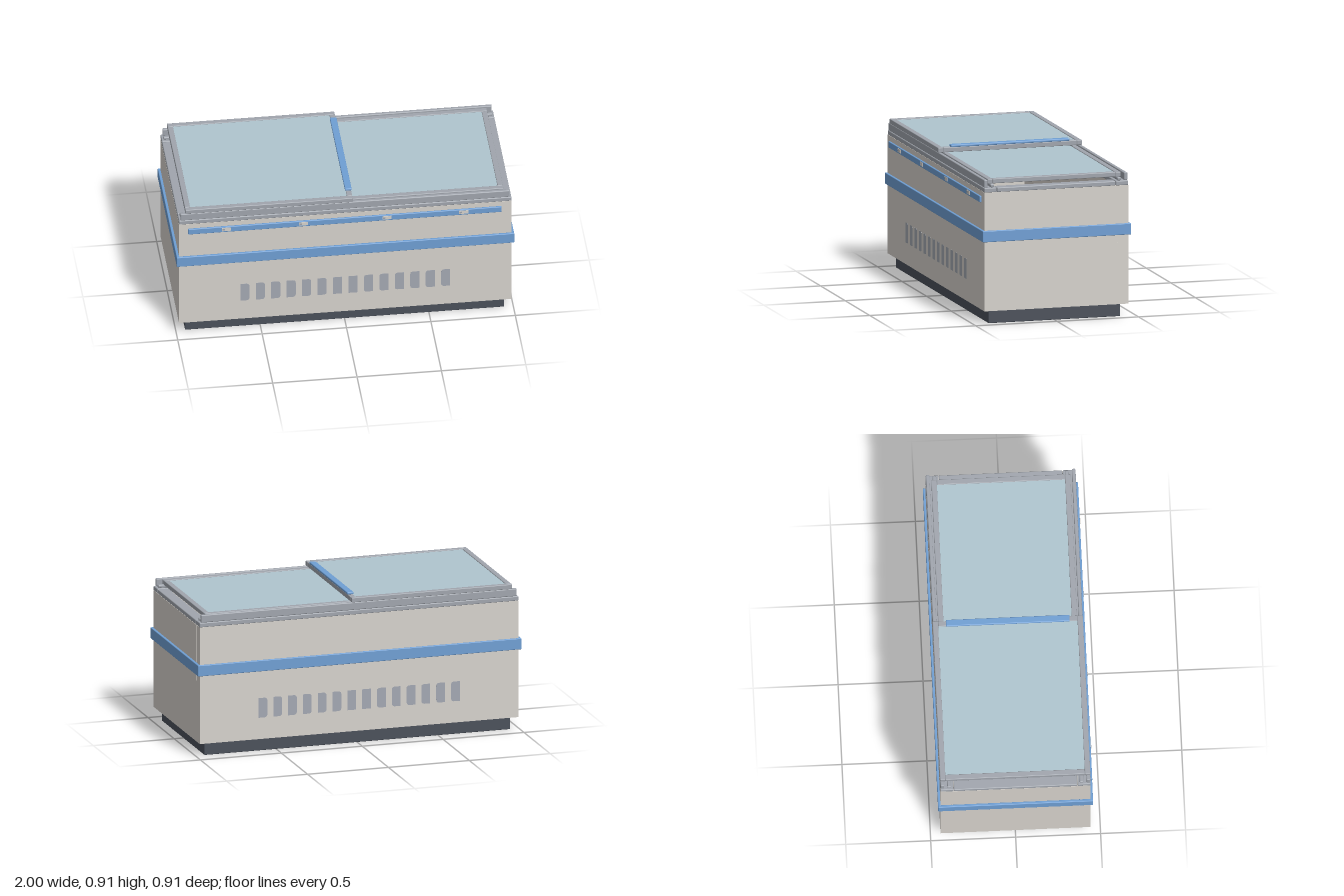
import * as THREE from 'three';
import { RoundedBoxGeometry } from 'three/addons/geometries/RoundedBoxGeometry.js';

function makeMaterial(name, color) {
  const m = new THREE.MeshStandardMaterial({ color });
  m.name = name;
  return m;
}

export function createModel() {
  const model = new THREE.Group();
  model.name = 'chestFreezer';

  const body = makeMaterial('warmGreyPanel', 0xd6d2cc);
  const dark = makeMaterial('darkPlinth', 0x4a505a);
  const blue = makeMaterial('blueTrim', 0x6f9fd4);
  const metal = makeMaterial('greyMetal', 0xa0a5ad);
  const glass = makeMaterial('paleGlass', 0xafc5cf);
  const vent = makeMaterial('ventGrey', 0xa3a8b2);

  // Box given by its extents on each axis; r rounds the edges
  function box(name, mat, [x0, x1], [y0, y1], [z0, z1], r = 0, parent = model) {
    const s = [x1 - x0, y1 - y0, z1 - z0];
    const geo = r ? new RoundedBoxGeometry(...s, 2, r) : new THREE.BoxGeometry(...s);
    const mesh = new THREE.Mesh(geo, mat);
    mesh.name = name;
    mesh.position.set((x0 + x1) / 2, (y0 + y1) / 2, (z0 + z1) / 2);
    parent.add(mesh);
    return mesh;
  }
  // Range mirrored to the chosen side
  const side = (s, a, b) => (s > 0 ? [a, b] : [-b, -a]);

  // Plinth and hollow cabinet
  box('plinth', dark, [-0.945, 0.945], [0, 0.085], [-0.405, 0.405], 0.004);
  box('cabinetLower', body, [-0.985, 0.985], [0.08, 0.45], [-0.442, 0.442]);
  for (const s of [1, -1]) {
    box('cabinetLongWall', body, [-0.985, 0.985], [0.45, 0.79], side(s, 0.378, 0.442));
    box('cabinetEndWall', body, side(s, 0.92, 0.982), [0.45, 0.79], [-0.378, 0.378]);
    box('endPanel', body, side(s, 0.98, 0.985), [0.45, 0.79], [-0.374, 0.374]);
  }

  // Bumper strip running round the cabinet
  for (const s of [1, -1]) {
    box('bumperLong', blue, [-1, 1], [0.495, 0.562], side(s, 0.44, 0.456), 0.004);
    box('bumperEnd', blue, side(s, 0.983, 1), [0.495, 0.562], [-0.456, 0.456], 0.004);
  }

  // Label rail with clips on the front
  box('labelRail', blue, [-0.932, 0.925], [0.722, 0.76], [0.441, 0.454], 0.004);
  for (const x of [-0.705, -0.25, 0.245, 0.7]) {
    box('railClip', body, [x - 0.027, x + 0.027], [0.732, 0.754], [0.45, 0.457]);
    box('railClipCatch', metal, [x - 0.024, x - 0.01], [0.738, 0.748], [0.452, 0.458]);
  }

  // Vent slots: outer slots are rounded on the side toward the middle
  function ventShape(r) {
    const w = 0.027, h = 0.06, sh = new THREE.Shape();
    sh.moveTo(-w, -h);
    sh.lineTo(w - r, -h);
    sh.quadraticCurveTo(w, -h, w, -h + r);
    sh.lineTo(w, h - r);
    sh.quadraticCurveTo(w, h, w - r, h);
    sh.lineTo(-w, h);
    sh.closePath();
    return new THREE.ExtrudeGeometry(sh, { depth: 0.002, bevelEnabled: false });
  }
  const roundedVent = ventShape(0.02), squareVent = ventShape(0.001);
  for (const face of [1, -1]) {
    const vents = new THREE.Group();
    vents.name = face > 0 ? 'frontVents' : 'backVents';
    for (let i = 0; i < 14; i++) {
      const mesh = new THREE.Mesh(i === 6 || i === 7 ? squareVent : roundedVent, vent);
      mesh.name = 'ventSlot';
      mesh.position.set(-0.595 + i * 0.0915, 0.27, 0.441);
      if (i > 6) {
        mesh.rotation.z = Math.PI;
      }
      vents.add(mesh);
    }
    if (face < 0) vents.rotation.y = Math.PI;
    model.add(vents);
  }

  // Top rim, lid guide rails and inner runners
  for (const s of [1, -1]) {
    box('rimLong', metal, [-0.985, 0.985], [0.789, 0.817], side(s, 0.366, 0.442), 0.005);
    box('rimEnd', metal, side(s, 0.92, 0.985), [0.789, 0.816], [-0.363, 0.363], 0.005);
    box('upperGuide', metal, [-0.975, 0.975], [0.817, 0.863], side(s, 0.419, 0.44), 0.005);
    box('lowerRunner', metal, [-0.975, 0.975], [0.817, 0.836], side(s, 0.378, 0.401), 0.006);
  }

  // Framed glass lid
  function lid(name, [x0, x1], [y0, y1], z) {
    const g = new THREE.Group();
    g.name = name;
    const b = 0.032;
    for (const s of [1, -1]) {
      box('frameLong', metal, [x0, x1], [y0, y1], side(s, z - b, z), 0.004, g);
    }
    box('frameEnd', metal, [x0, x0 + b], [y0, y1], [-z + b, z - b], 0.004, g);
    box('frameEnd', metal, [x1 - b, x1], [y0, y1], [-z + b, z - b], 0.004, g);
    box('glassPane', glass, [x0 + b - 0.004, x1 - b + 0.004], [y0 + 0.008, y1 - 0.005],
      [-z + b - 0.004, z - b + 0.004], 0, g);
    model.add(g);
  }
  lid('upperLid', [-0.947, 0.045], [0.863, 0.892], 0.442);
  lid('lowerLid', [-0.045, 0.942], [0.834, 0.862], 0.409);

  // Grip along the free edge of the upper lid
  box('lidHandle', blue, [0.008, 0.048], [0.891, 0.906], [-0.364, 0.364], 0.005);

  return model;
}
